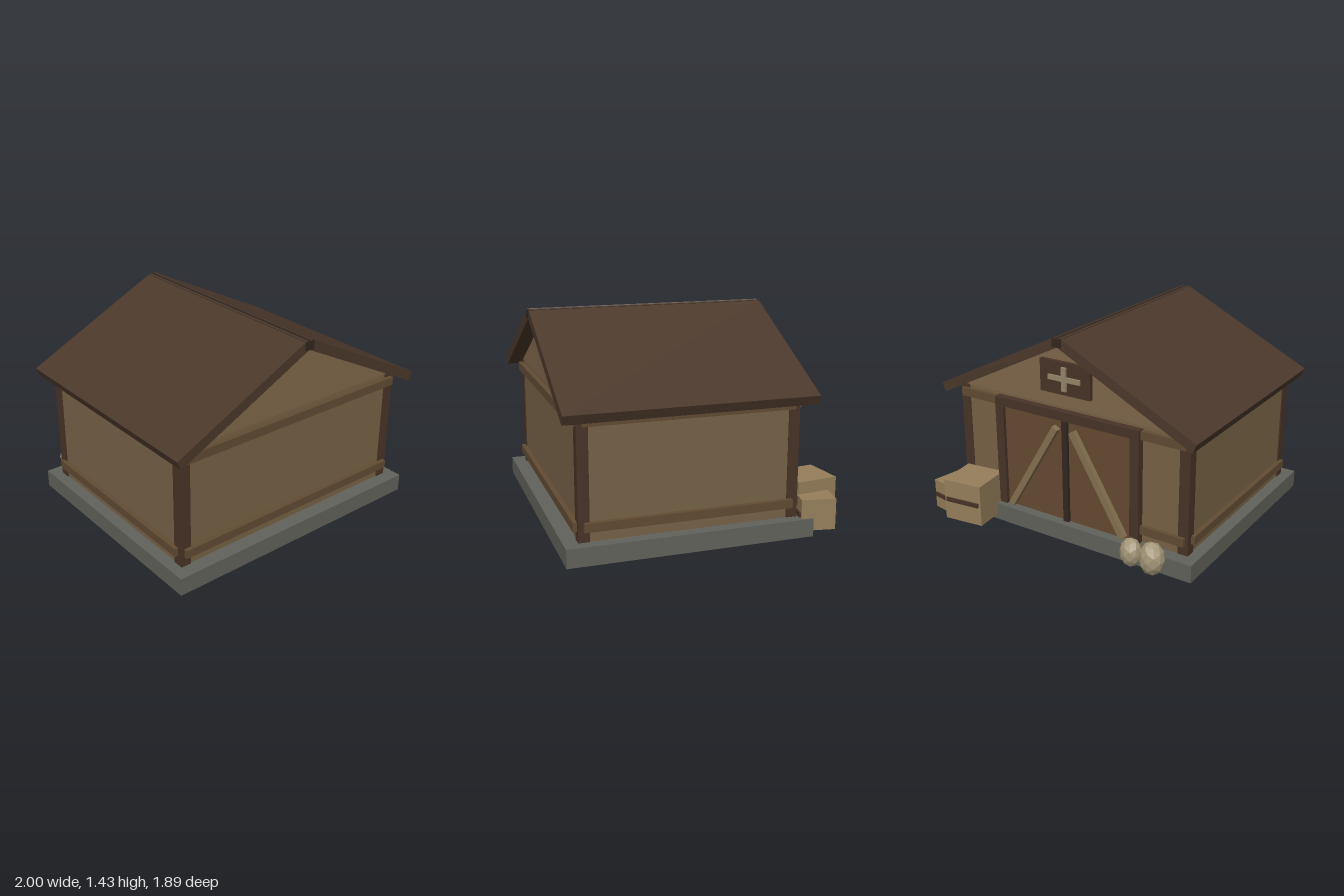
import * as THREE from 'three';

const mat = (color, opts = {}) => {
  const m = new THREE.MeshStandardMaterial(opts);
  m.color.set(color);
  return m;
};
const STONE = mat(0x62625b), WALL = mat(0x776246), GABLE = mat(0x80674a), DARK = mat(0x483327),
  BEAM = mat(0x624b33), ROOF = mat(0x4b382b), RIDGE = mat(0x33271f), DOOR = mat(0x654b31),
  BRACE = mat(0x85704f), CRATE = mat(0x967e5a), SIGN = mat(0x94866a), SACK = mat(0xa39678, { flatShading: true });

function add(parent, name, geometry, material, x = 0, y = 0, z = 0) {
  const mesh = new THREE.Mesh(geometry, material);
  mesh.name = name;
  mesh.position.set(x, y, z);
  parent.add(mesh);
  return mesh;
}

// Box given by its extents on each axis
function span(parent, name, material, [x0, x1], [y0, y1], [z0, z1]) {
  return add(parent, name, new THREE.BoxGeometry(x1 - x0, y1 - y0, z1 - z0), material,
    (x0 + x1) / 2, (y0 + y1) / 2, (z0 + z1) / 2);
}

// Outline in x/y, extruded from z0 to z1
function prism(parent, name, material, points, z0, z1) {
  const shape = new THREE.Shape(points.map(p => new THREE.Vector2(...p)));
  const geometry = new THREE.ExtrudeGeometry(shape, { depth: z1 - z0, bevelEnabled: false });
  return add(parent, name, geometry, material, 0, 0, z0);
}

// Crate with a dark slat on its front and back
function crate(parent, name, size, depth, x, y, z, turn, slatY) {
  const group = new THREE.Group();
  group.name = name;
  group.position.set(x, y, z);
  group.rotation.y = turn;
  add(group, 'crateBox', new THREE.BoxGeometry(size, size, depth), CRATE);
  for (const s of [-1, 1]) {
    add(group, 'crateSlat', new THREE.BoxGeometry(size * 0.88, 0.03, 0.024), DARK, 0, slatY, s * depth / 2);
  }
  parent.add(group);
}

export function createModel() {
  const model = new THREE.Group();
  model.name = 'storehouse';
  const house = new THREE.Group();
  house.name = 'house';
  house.position.x = -0.003;
  model.add(house);

  // Foundation, walls and gable
  span(house, 'foundation', STONE, [-0.982, 0.982], [0, 0.122], [-0.697, 0.933]);
  span(house, 'walls', WALL, [-0.9, 0.9], [0.12, 0.93], [-0.602, 0.834]);
  prism(house, 'gable', GABLE, [[-0.87, 0.93], [0.87, 0.93], [0, 1.362]], -0.604, 0.836);

  // Corner posts
  for (const s of [-1, 1]) {
    for (const z of [0.805, -0.572]) {
      add(house, 'cornerPost', new THREE.BoxGeometry(0.073, 0.81, 0.073), DARK, s * 0.872, 0.525, z);
    }
  }

  // Horizontal beams around the walls
  for (const [y0, y1] of [[0.19, 0.248], [0.846, 0.905]]) {
    span(house, 'frontBeam', BEAM, [-0.887, 0.887], [y0, y1], [0.8, 0.868]);
    for (const s of [-1, 1]) {
      add(house, 'sideBeam', new THREE.BoxGeometry(0.065, y1 - y0, 1.375), BEAM,
        s * 0.901, (y0 + y1) / 2 + 0.002, 0.12);
      add(house, 'backBeam', new THREE.BoxGeometry(0.33, y1 - y0, 0.06), BEAM,
        s * 0.722, (y0 + y1) / 2, -0.602);
    }
  }

  // Double door at the back: frame, panels and diagonal braces
  const door = new THREE.Group();
  door.name = 'doubleDoor';
  house.add(door);
  span(door, 'doorLintel', DARK, [-0.57, 0.57], [0.85, 0.912], [-0.655, -0.59]);
  span(door, 'doorMeetingPost', RIDGE, [-0.021, 0.021], [0.12, 0.85], [-0.652, -0.59]);
  for (const s of [-1, 1]) {
    add(door, 'doorPost', new THREE.BoxGeometry(0.065, 0.73, 0.065), DARK, s * 0.537, 0.485, -0.6225);
    add(door, 'doorPanel', new THREE.BoxGeometry(0.49, 0.73, 0.05), DOOR, s * 0.262, 0.485, -0.605);
    const brace = add(door, 'doorBrace', new THREE.BoxGeometry(0.045, 0.76, 0.045), BRACE, s * 0.26, 0.465, -0.647);
    brace.rotation.z = s * Math.atan2(0.39, 0.65);
  }

  // Sign board with crossed bars
  span(house, 'signBoard', DARK, [-0.195, 0.195], [1.022, 1.242], [-0.632, -0.59]);
  span(house, 'signBarAcross', SIGN, [-0.125, 0.125], [1.115, 1.149], [-0.645, -0.62]);
  span(house, 'signBarUpright', SIGN, [-0.018, 0.018], [1.052, 1.212], [-0.648, -0.62]);

  // Roof slopes, each a slanted slab, and the ridge cap
  const slope = [[0, 1.362], [0.97, 0.879], [0.997, 0.94], [0.02, 1.426], [0, 1.4]];
  prism(house, 'roofSlope', ROOF, slope, -0.705, 0.938);
  prism(house, 'roofSlope', ROOF, slope.map(([x, y]) => [-x, y]), -0.705, 0.938);
  span(house, 'ridgeCap', RIDGE, [-0.034, 0.034], [1.363, 1.421], [-0.712, 0.945]);

  // Crates beside the door
  crate(model, 'largeCrate', 0.292, 0.292, 0.696, 0.187, -0.771, 0.12, 0.005);
  crate(model, 'smallCrate', 0.21, 0.23, 0.879, 0.145, -0.747, -0.17, 0);

  // Grain sacks
  for (const [x, y, z, rx, ry, rz, turn] of [
    [-0.745, 0.135, -0.767, 0.087, 0.115, 0.08, 0.1],
    [-0.585, 0.125, -0.757, 0.076, 0.1, 0.07, -0.15],
  ]) {
    const sack = add(model, 'sack', new THREE.IcosahedronGeometry(1, 1), SACK, x, y, z);
    sack.scale.set(rx, ry, rz);
    sack.rotation.y = turn;
  }
  return model;
}
